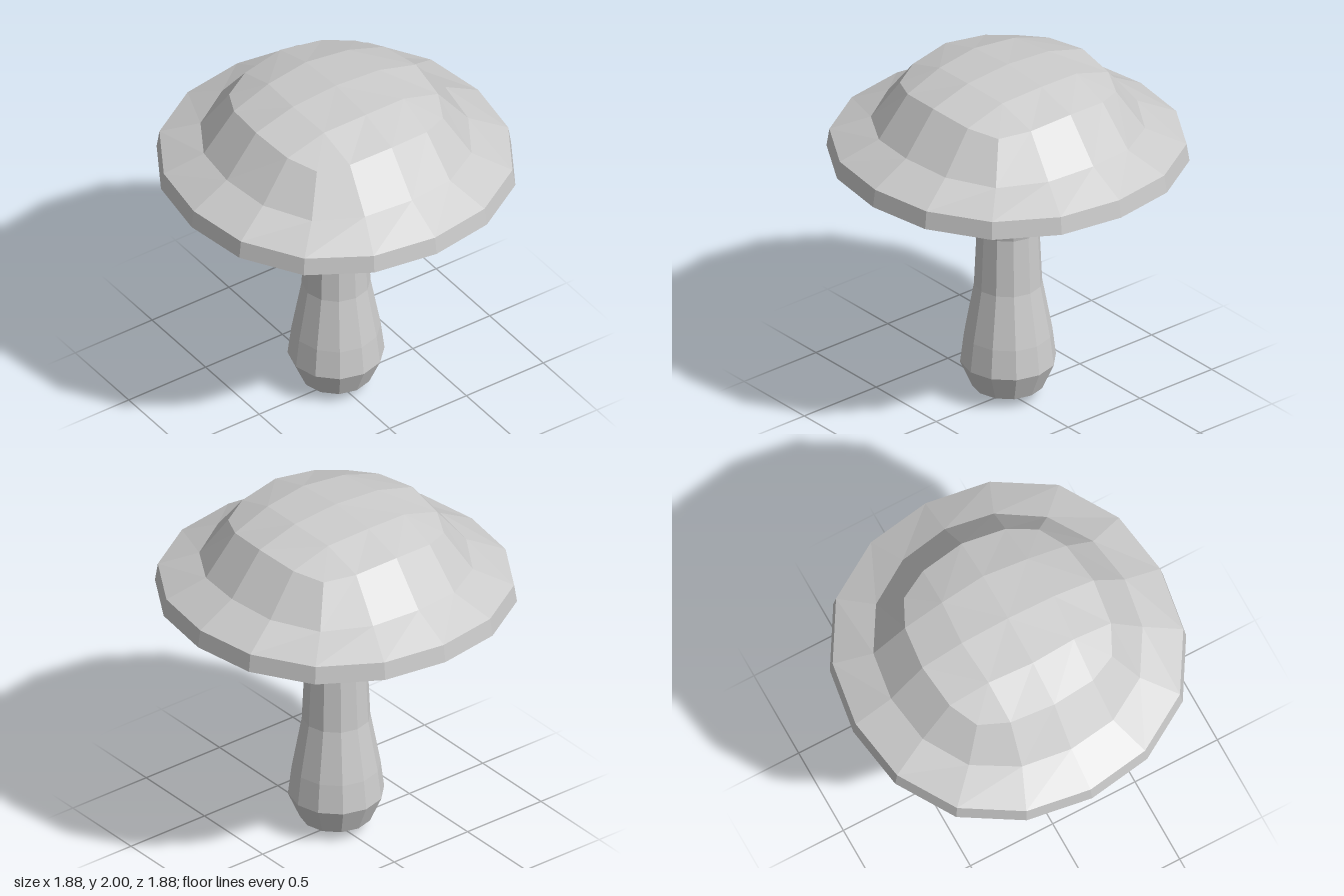
import * as THREE from 'three';

const SIDES = 16;

// Slightly squared ring: corners pushed out by `bulge`, lowered by `drop`, mid points turned by `turn`.
function ring(radius, y, bulge, drop = 0, turn = 0, count = SIDES) {
  return Array.from({ length: count }, (_, k) => {
    const a = (k / count) * Math.PI * 2;
    const corner = (1 - Math.cos(4 * a)) / 2;
    const angle = a + turn * Math.sin(4 * a);
    const r = radius * (1 + bulge * corner);
    return [Math.sin(angle) * r, y - drop * corner, Math.cos(angle) * r];
  });
}

function createCapGeometry() {
  const positions = [];
  const tri = (a, b, c) => positions.push(...a, ...b, ...c);
  const quad = (a, b, c, d) => { tri(a, b, c); tri(a, c, d); };

  // Crown, slope, brim and rolled lower edge, from top to bottom
  const rings = [
    ring(0.52, 1.91, 0.115, 0.05, 0.08),
    ring(0.71, 1.675, 0.035, 0.03),
    ring(0.925, 1.56, 0.035),
    ring(0.94, 1.46, 0.035),
    ring(0.81, 1.42, 0.035),
  ];
  for (let i = 0; i < rings.length - 1; i++) {
    const up = rings[i], low = rings[i + 1];
    for (let k = 0; k < SIDES; k++) {
      const n = (k + 1) % SIDES;
      quad(low[k], low[n], up[n], up[k]);
    }
  }

  // Crown closed with a four by four grid of faces
  const outer = rings[0];
  const inner = ring(0.28, 1.98, 0.31, 0.02, 0, 8);
  const top = [0, 2, 0];
  const o = (k) => outer[(k + 16) % 16];
  const n = (k) => inner[(k + 8) % 8];
  for (let c = 0; c < 4; c++) {
    quad(o(4 * c), o(4 * c + 1), n(2 * c + 1), n(2 * c));
    quad(o(4 * c - 1), o(4 * c), n(2 * c), n(2 * c - 1));
    quad(o(4 * c + 2), o(4 * c + 3), n(2 * c + 1), o(4 * c + 1));
    quad(n(2 * c + 1), n(2 * c + 2), top, n(2 * c));
  }

  // Shallow hollow underside
  const edge = rings[rings.length - 1];
  for (let k = 0; k < SIDES; k++) tri(edge[(k + 1) % SIDES], edge[k], [0, 1.55, 0]);

  const geometry = new THREE.BufferGeometry();
  geometry.setAttribute('position', new THREE.Float32BufferAttribute(positions, 3));
  geometry.computeVertexNormals();
  return geometry;
}

export function createModel() {
  const group = new THREE.Group();
  group.name = 'mushroom';
  const material = new THREE.MeshStandardMaterial({ color: 0xcccccc, flatShading: true });

  const cap = new THREE.Mesh(createCapGeometry(), material);
  cap.name = 'cap';

  // Waisted stem with a pointed foot, its top tucked into the cap
  const profile = [
    [0, 0], [0.195, 0.065], [0.26, 0.215], [0.24, 0.38],
    [0.185, 0.68], [0.17, 1.01], [0.26, 1.42], [0.272, 1.51],
  ].map(([r, y]) => new THREE.Vector2(r, y));
  const stem = new THREE.Mesh(new THREE.LatheGeometry(profile, 12), material);
  stem.name = 'stem';

  group.add(cap, stem);
  return group;
}
